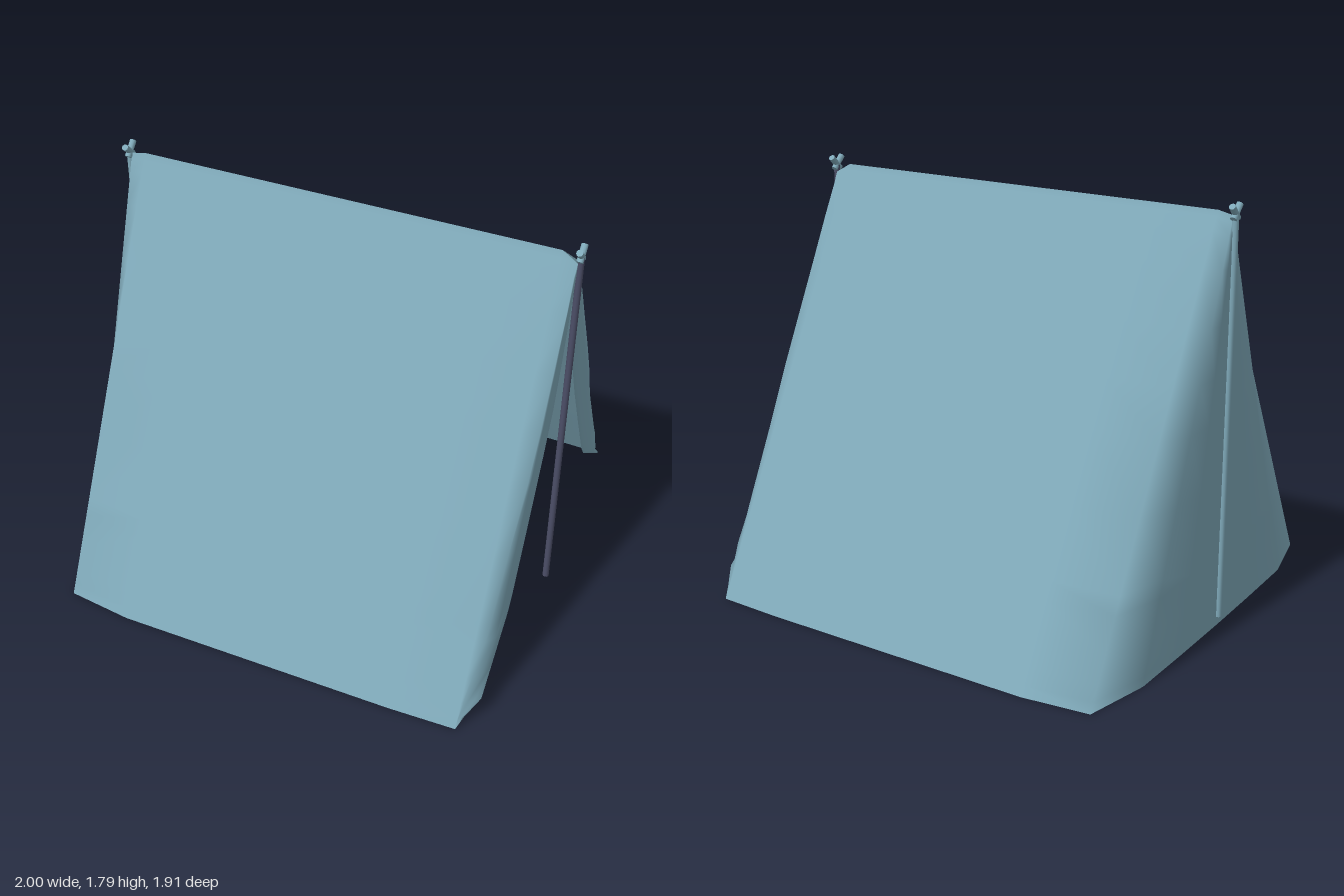
import * as THREE from 'three';
import { mergeVertices } from 'three/addons/utils/BufferGeometryUtils.js';

const HEIGHT = 1.755, HALF_DEPTH = 0.955;

// inner edge of the door flap: [height, distance from the centre]
const FLAP = [[0, 0.955], [0.33, 0.535], [0.4, 0.485], [0.66, 0.35], [0.93, 0.215], [1.12, 0.13], [1.33, 0.075], [1.55, 0.032], [1.72, 0.006], [HEIGHT, 0]];

// half plan from the door edge round to the middle of the closed end: [x, depth factor]
const PLAN = [[0.91, 0.99], [0.62, 1], [-0.62, 1], [-0.91, 0.963], [-0.975, 0.66], [-0.98, 0.33], [-0.982, 0]];

function flapEdge(y) {
  const i = Math.max(1, FLAP.findIndex(p => p[0] >= y - 1e-6));
  const [a, b] = [FLAP[i - 1], FLAP[i]];
  return THREE.MathUtils.mapLinear(y, a[0], b[0], a[1], b[1]);
}

// points of one height, from the free flap edge to the middle of the closed end
function crossSection(y) {
  const k = 1 - y / HEIGHT;
  const slope = HALF_DEPTH * k, width = Math.max(0, slope * 0.99 - flapEdge(y));
  const row = [];
  for (const f of [1, 0.92, 0.6, 0.3, 0.12]) {
    const turn = Math.min(1, (f * width) / (0.06 * k + 0.001));
    const curl = f === 1 ? 0.008 * Math.min(1, width * 8) : 0;
    row.push([0.91 + 0.067 * turn - curl, slope * 0.99 - f * width]);
  }
  for (const [x, d] of PLAN) row.push([x, slope * d]);
  // the ridge dips slightly at both ends
  return row.map(([x, z]) => {
    const end = Math.max(0, (Math.abs(x) - 0.91) / 0.07);
    return [x, y - 0.015 * end * (y / HEIGHT), z];
  });
}

function canvasGeometry() {
  const heights = [0, 0.04, 0.1, 0.2, 0.33, 0.4, 0.66, 0.93, 1.12, 1.33, 1.55, 1.68, 1.73, HEIGHT];
  const positions = [], index = [];
  for (const side of [1, -1]) {
    const base = positions.length / 3;
    const rows = heights.map(crossSection);
    const n = rows[0].length;
    for (const row of rows) for (const [x, y, z] of row) positions.push(x, y, z * side);
    for (let r = 0; r < rows.length - 1; r++) {
      for (let c = 0; c < n - 1; c++) {
        const a = base + r * n + c, b = a + 1, d = a + n, e = d + 1;
        if (side > 0) index.push(a, d, b, b, d, e);
        else index.push(a, b, d, b, e, d);
      }
    }
  }
  let g = new THREE.BufferGeometry();
  g.setAttribute('position', new THREE.Float32BufferAttribute(positions, 3));
  g.setIndex(index);
  g = mergeVertices(g, 1e-4);
  g.computeVertexNormals();
  return g;
}

export function createModel() {
  const tent = new THREE.Group();
  tent.name = 'tent';
  const cloth = new THREE.MeshStandardMaterial({ color: 0x7fa9b9, side: THREE.DoubleSide });
  const blue = new THREE.MeshStandardMaterial({ color: 0x7fa9b9 });
  const dark = new THREE.MeshStandardMaterial({ color: 0x4c4f68 });

  // slopes, door flaps and closed end in one sheet
  const canvas = new THREE.Mesh(canvasGeometry(), cloth);
  canvas.name = 'canvas';
  tent.add(canvas);

  // upright with a small fork on top at each end
  for (const [name, x, material] of [['doorPole', 0.985, dark], ['backPole', -0.985, blue]]) {
    const group = new THREE.Group();
    group.name = name;
    group.position.x = x;
    const bottom = 0.04, top = 1.745;
    const pole = new THREE.Mesh(new THREE.CylinderGeometry(0.014, 0.014, top - bottom, 10), material);
    pole.name = 'upright';
    pole.position.y = (bottom + top) / 2;
    group.add(pole);
    for (const s of [1, -1]) {
      const prong = new THREE.Mesh(new THREE.CylinderGeometry(0.014, 0.014, 0.075, 10), blue);
      prong.name = 'forkProng';
      prong.position.set(0, 1.755, s * 0.008);
      prong.rotation.x = s * Math.PI / 4;
      group.add(prong);
    }
    tent.add(group);
  }
  return tent;
}
